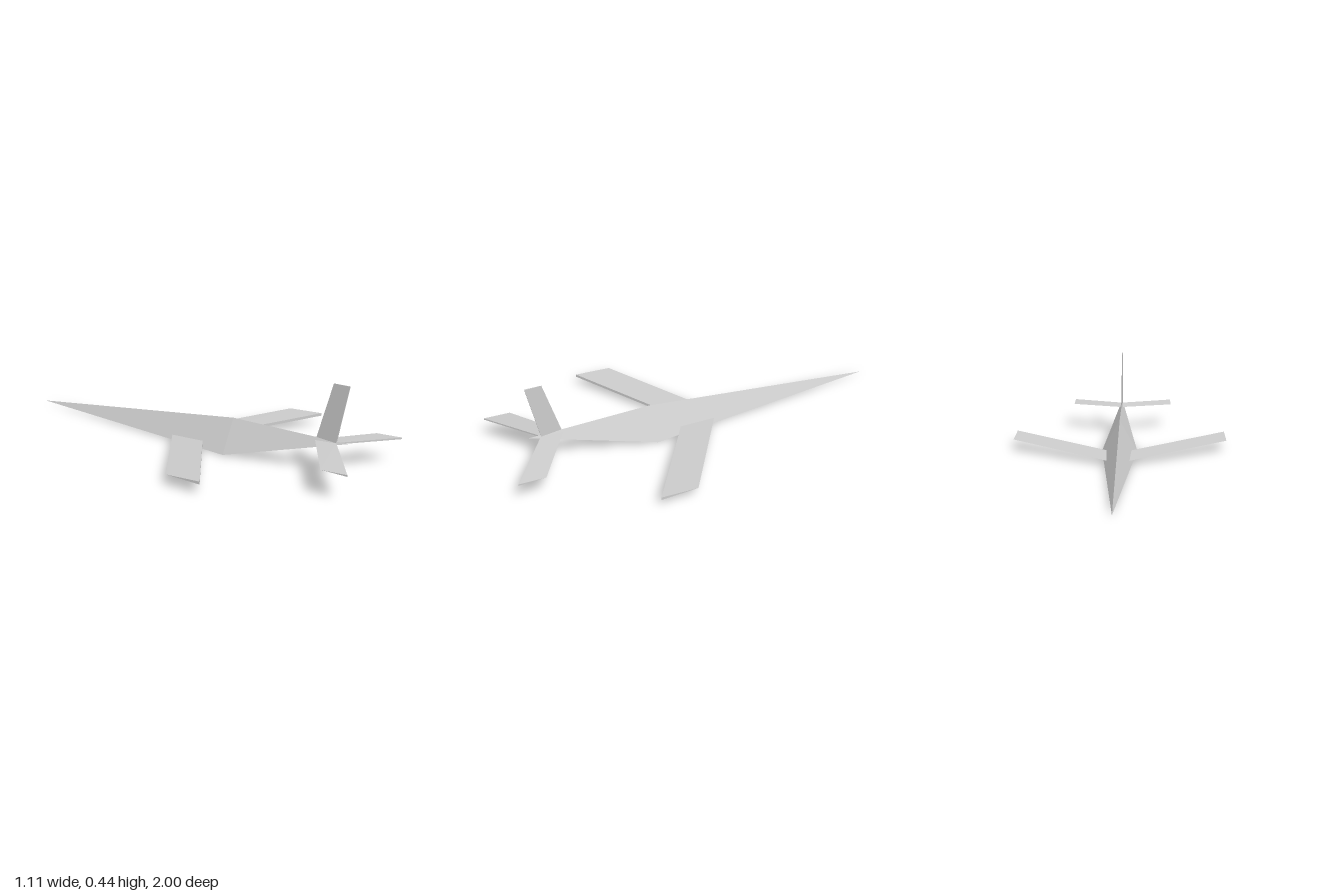
import * as THREE from 'three';
import { ConvexGeometry } from 'three/addons/geometries/ConvexGeometry.js';

const grey = new THREE.MeshStandardMaterial({ color: 0xcccccc });
grey.name = 'light grey';

// Flat-faced solid spanned by a few corner points
function solid(name, corners) {
  const geometry = new ConvexGeometry(corners.map((c) => new THREE.Vector3(...c)));
  geometry.computeVertexNormals();
  const mesh = new THREE.Mesh(geometry, grey);
  mesh.name = name;
  return mesh;
}

// Swept surface with a sharp leading edge and a blunt trailing edge.
// Each station is [x, leading z, trailing z, bottom y, top y].
function sweptSurface(name, side, stations) {
  return solid(name, stations.flatMap(([x, zLead, zTrail, low, high]) => [
    [side * x, low + (high - low) * 0.3, zLead],
    [side * x, low, zTrail],
    [side * x, high, zTrail],
  ]));
}

export function createModel() {
  const model = new THREE.Group();
  model.name = 'jet';

  // Fuselage: a triangular frame drawn out to a long nose and a short tail
  model.add(solid('fuselage', [
    [0, 0.015, -1],
    [-0.092, 0, 0.24],
    [0.092, 0, 0.24],
    [0, 0.165, 0.24],
    [0, 0.163, 0.86],
  ]));

  // Wings and tailplanes, mirrored
  for (const [label, side] of [['left', 1], ['right', -1]]) {
    model.add(sweptSurface(label + 'Wing', side, [
      [0.01, -0.117, 0.067, 0.017, 0.031],
      [0.557, 0.242, 0.427, 0.053, 0.067],
    ]));
    model.add(sweptSurface(label + 'Tailplane', side, [
      [0, 0.69, 0.8, 0.148, 0.156],
      [0.279, 0.87, 1, 0.132, 0.14],
    ]));
  }

  // Tail fin: wedge section, raked back
  model.add(solid('tailFin', [
    [0, 0.155, 0.695],
    [-0.004, 0.152, 0.8],
    [0.004, 0.152, 0.8],
    [0, 0.437, 0.775],
    [-0.003, 0.437, 0.857],
    [0.003, 0.437, 0.857],
  ]));

  return model;
}
